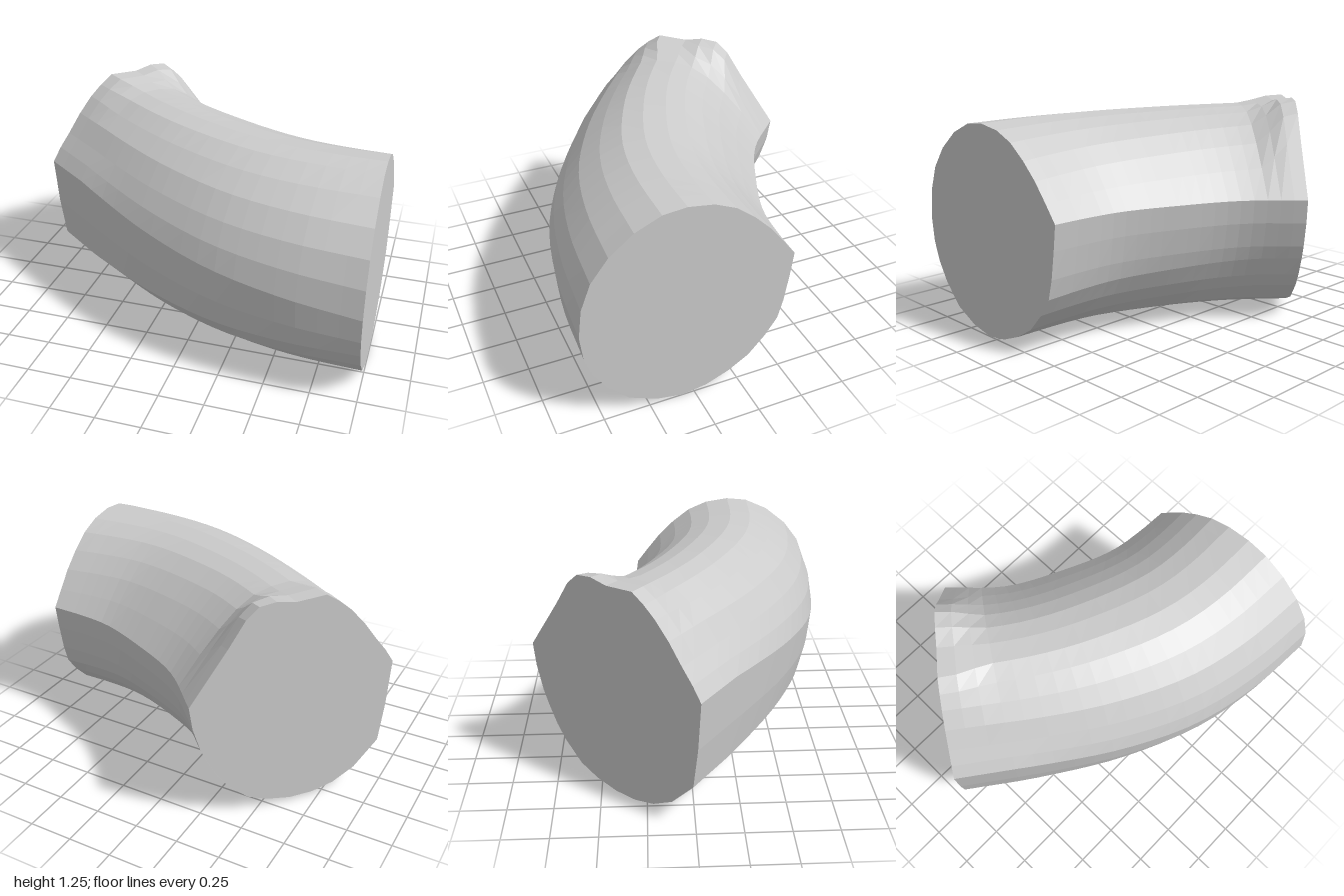
import * as THREE from 'three';

const material = new THREE.MeshStandardMaterial({ color: 0xcccccc, flatShading: true });

// Plan curves of the bend, as x, z
const guide = (pts) => new THREE.CatmullRomCurve3(pts.map(([x, z]) => new THREE.Vector3(x, 0, z)));
const outer = guide([[1, 0.855], [0.6, 0.83], [0.2, 0.745], [-0.2, 0.565], [-0.6, 0.31], [-1, 0.02]]);
const inner = guide([[1, -0.29], [0.8, -0.3], [0.6, -0.33], [0.3, -0.45], [0, -0.61], [-0.26, -0.86]]);

// Cross-sections: [share of the way from outer to inner side, height],
// starting at the outer side and running over the top
const lower = [[0.985, 0.6], [0.965, 0.45], [0.94, 0.34], [0.88, 0.24], [0.8, 0.14], [0.7, 0.07], [0.59, 0.02],
  [0.47, 0], [0.34, 0.03], [0.21, 0.1], [0.11, 0.22], [0.05, 0.33], [0.015, 0.44]];
const startSection = [[0, 0.58], [0.015, 0.74], [0.06, 0.88], [0.14, 1], [0.25, 1.1], [0.37, 1.16], [0.48, 1.172],
  [0.6, 1.15], [0.7, 1.1], [0.79, 1.02], [0.87, 0.93], [0.94, 0.83], [1, 0.74], ...lower];
const lowerEnd = [[0.985, 0.62], [0.95, 0.48], [0.92, 0.4], [0.87, 0.29], [0.82, 0.21], [0.72, 0.1], [0.62, 0.05],
  [0.5, 0.02], [0.38, 0.02], [0.27, 0.05], [0.16, 0.12], [0.04, 0.27], [0.015, 0.5]];
const endSection = [[0, 0.77], [0.045, 0.85], [0.1, 0.93], [0.17, 1.04], [0.24, 1.13], [0.3, 1.19], [0.365, 1.24],
  [0.51, 1.23], [0.6, 1.25], [0.68, 1.24], [0.74, 1.18], [0.82, 1.04], [1, 0.75], ...lowerEnd];
// The same end without its raised lump on the inner top
const plainEnd = endSection.map((p) => [...p]);
[[0.25, 1.11], [0.33, 1.175], [0.42, 1.2], [0.52, 1.195], [0.61, 1.17], [0.7, 1.11], [0.79, 1.02], [0.89, 0.9]]
  .forEach((p, i) => { plainEnd[i + 4] = p; });

const STEPS = 20;
const COUNT = startSection.length;

function ring(t) {
  const o = outer.getPointAt(t), n = inner.getPointAt(t);
  const blend = Math.min(t / 0.85, 1);
  const lump = THREE.MathUtils.smoothstep(t, 0.84, 0.98);
  return startSection.map((p, i) => {
    const mix = (k) => THREE.MathUtils.lerp(
      THREE.MathUtils.lerp(p[k], plainEnd[i][k], blend), endSection[i][k], lump);
    const v = o.clone().lerp(n, mix(0));
    v.y = mix(1);
    return v;
  });
}

function makeMesh(name, points, index) {
  const geometry = new THREE.BufferGeometry().setFromPoints(points);
  geometry.setIndex(index);
  geometry.computeVertexNormals();
  const mesh = new THREE.Mesh(geometry, material);
  mesh.name = name;
  return mesh;
}

// Flat cap as a fan around the ring's middle
function cap(name, points, reversed) {
  const middle = points.reduce((s, p) => s.add(p), new THREE.Vector3()).divideScalar(COUNT);
  const index = [];
  for (let i = 0; i < COUNT; i++) {
    const j = (i + 1) % COUNT;
    index.push(COUNT, ...(reversed ? [j, i] : [i, j]));
  }
  return makeMesh(name, [...points, middle], index);
}

export function createModel() {
  const group = new THREE.Group();
  group.name = 'bentTube';

  // Curved outer skin
  const rings = [];
  for (let k = 0; k <= STEPS; k++) rings.push(ring(k / STEPS));
  const index = [];
  for (let k = 0; k < STEPS; k++) {
    for (let i = 0; i < COUNT; i++) {
      const j = (i + 1) % COUNT;
      const a = k * COUNT + i, b = k * COUNT + j;
      const c = a + COUNT, d = b + COUNT;
      index.push(a, b, c, b, d, c);
    }
  }
  group.add(makeMesh('curvedSkin', rings.flat(), index));

  // Cut faces at both ends
  group.add(cap('startCap', rings[0], true));
  group.add(cap('endCap', rings[STEPS], false));
  return group;
}
